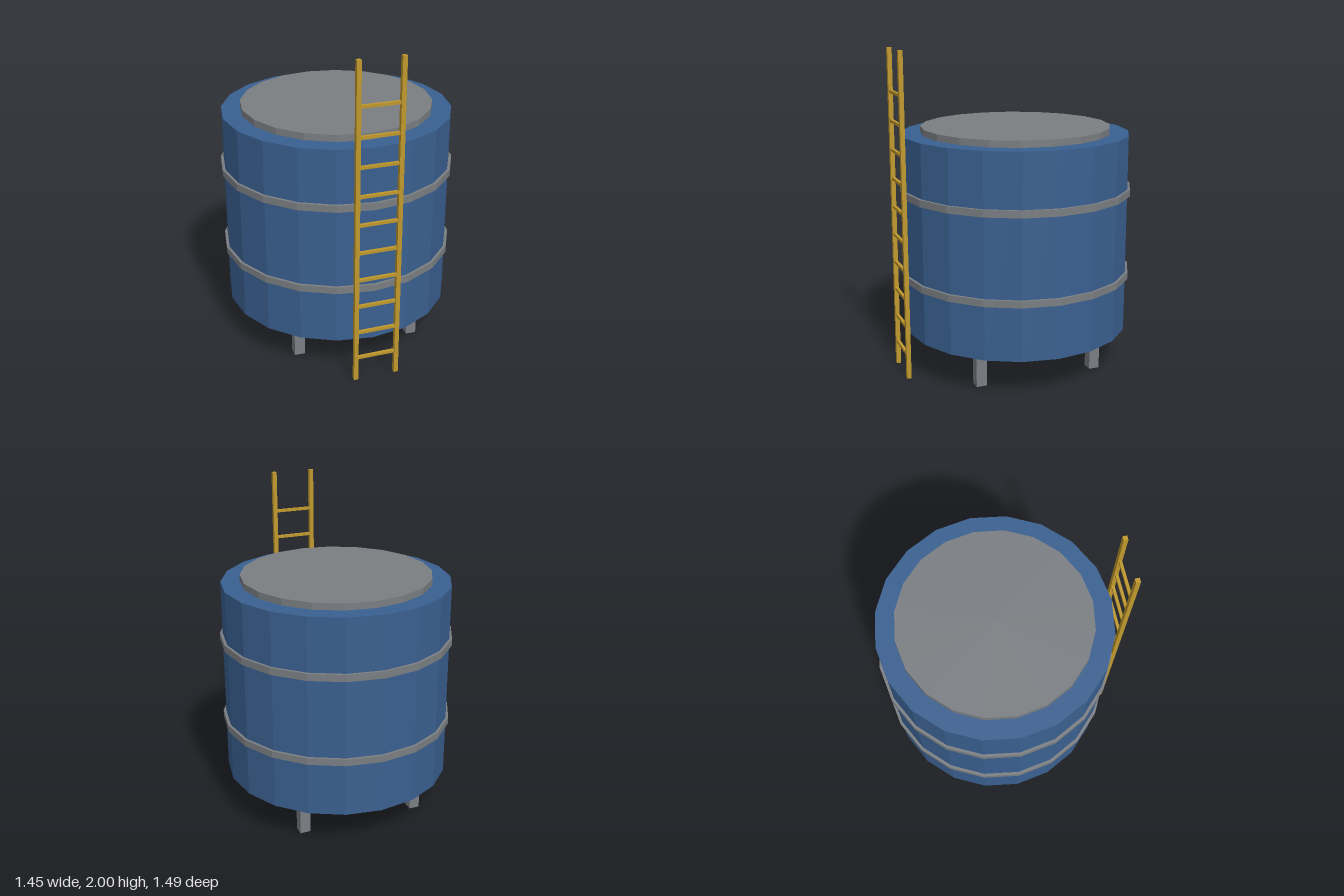
import * as THREE from 'three';

const blue = new THREE.MeshStandardMaterial({ color: 0x3a6090, flatShading: true });
blue.name = 'tankBlue';
const grey = new THREE.MeshStandardMaterial({ color: 0x7a7e82, flatShading: true });
grey.name = 'steelGrey';
const yellow = new THREE.MeshStandardMaterial({ color: 0xc0982c, flatShading: true });
yellow.name = 'ladderYellow';

const SIDES = 20;
const TANK_Z = -0.022;

function add(parent, name, geometry, material, x, y, z) {
  const mesh = new THREE.Mesh(geometry, material);
  mesh.name = name;
  mesh.position.set(x, y, z);
  parent.add(mesh);
}

// Upright faceted drum between two heights
function drum(parent, name, radius, y0, y1, material) {
  const geometry = new THREE.CylinderGeometry(radius, radius, y1 - y0, SIDES);
  add(parent, name, geometry, material, 0, (y0 + y1) / 2, 0);
}

export function createModel() {
  const model = new THREE.Group();
  model.name = 'storageTank';

  // Tank body, lid and hoops
  const tank = new THREE.Group();
  tank.name = 'tank';
  tank.position.z = TANK_Z;
  model.add(tank);
  drum(tank, 'tankBody', 0.706, 0.238, 1.473, blue);
  drum(tank, 'lid', 0.588, 1.46, 1.514, grey);
  drum(tank, 'lowerBand', 0.723, 0.572, 0.614, grey);
  drum(tank, 'upperBand', 0.723, 1.1, 1.143, grey);

  // Four square legs
  const legGeometry = new THREE.BoxGeometry(0.066, 0.245, 0.066);
  for (const x of [-0.375, 0.375]) {
    for (const z of [-0.375, 0.375]) add(tank, 'leg', legGeometry, grey, x, 0.1225, z);
  }

  // Ladder standing in front of the tank
  const ladder = new THREE.Group();
  ladder.name = 'ladder';
  ladder.position.z = 0.732;
  model.add(ladder);
  const railGeometry = new THREE.BoxGeometry(0.027, 2, 0.027);
  for (const x of [-0.128, 0.128]) add(ladder, 'ladderRail', railGeometry, yellow, x, 1, 0);
  const rungGeometry = new THREE.BoxGeometry(0.256, 0.018, 0.018);
  for (let i = 0; i < 10; i++) add(ladder, 'ladderRung', rungGeometry, yellow, 0, 0.15 + i * 0.1767, 0);

  return model;
}
